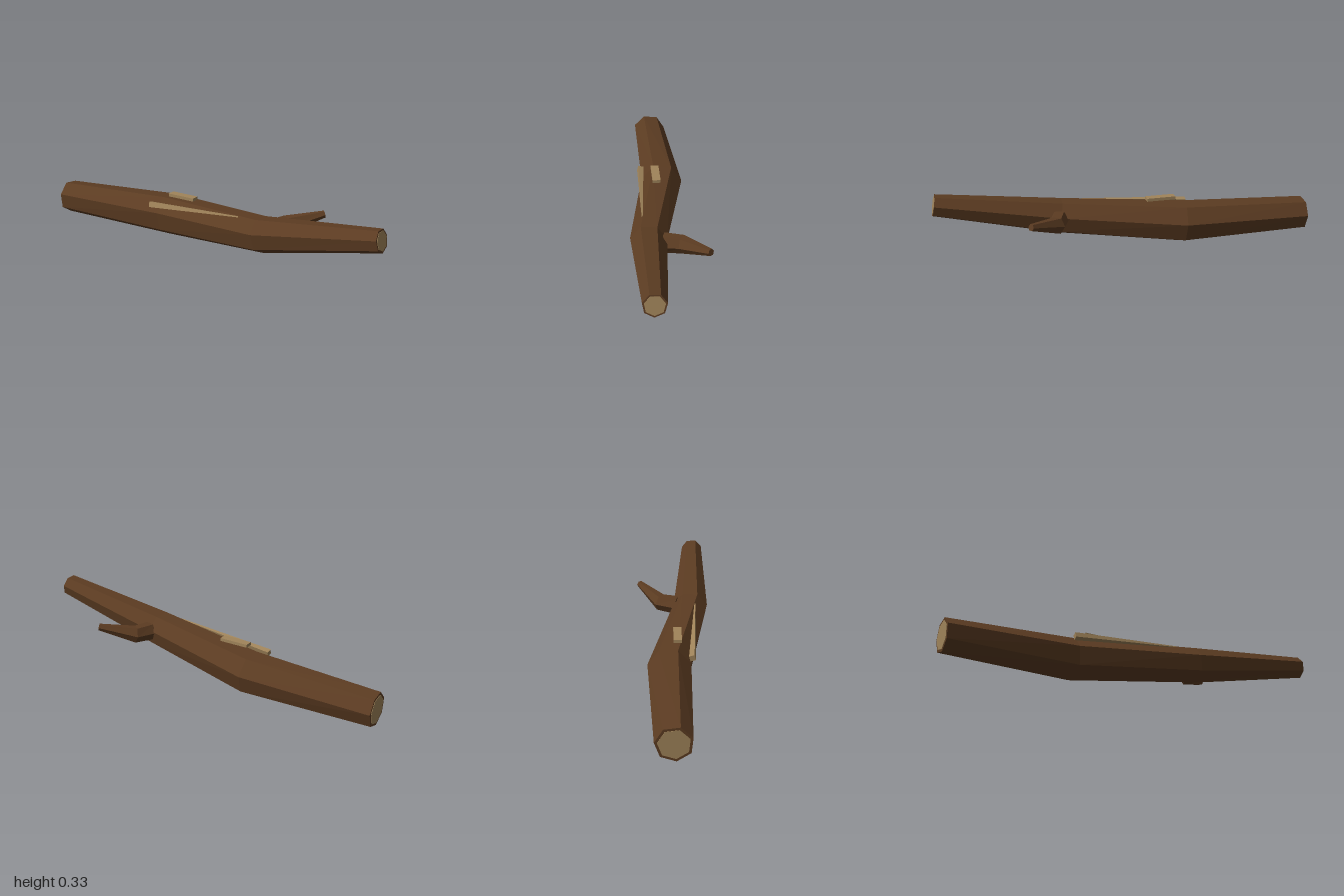
import * as THREE from 'three';

const BARK = 0x5c3c22, WOOD = 0xa0845a;
const V = (x, y, z) => new THREE.Vector3(x, y, z);

// Capped faceted limb lofted through stations { c: centre, r: radius, turn: degrees }
function limb(name, stations, sides, color) {
  const last = stations.length - 1;
  const rings = stations.map(({ c, r, turn = 0 }, i) => {
    const t = V(0, 0, 0);
    if (i > 0) t.add(c.clone().sub(stations[i - 1].c).normalize());
    if (i < last) t.add(stations[i + 1].c.clone().sub(c).normalize());
    t.normalize();
    const up = V(0, 1, 0).addScaledVector(t, -t.y).normalize();
    const side = t.clone().cross(up);
    return Array.from({ length: sides }, (_, k) => {
      const a = THREE.MathUtils.degToRad(turn) + (k / sides) * Math.PI * 2;
      return c.clone().addScaledVector(up, r * Math.cos(a)).addScaledVector(side, r * Math.sin(a));
    });
  });
  const points = [];
  for (let k = 0; k < sides; k++) {
    const n = (k + 1) % sides;
    for (let i = 0; i < last; i++) {
      const a = rings[i], b = rings[i + 1];
      points.push(a[k], a[n], b[k], a[n], b[n], b[k]);
    }
    points.push(stations[0].c, rings[0][n], rings[0][k]);
    points.push(stations[last].c, rings[last][k], rings[last][n]);
  }
  const geometry = new THREE.BufferGeometry().setFromPoints(points);
  geometry.computeVertexNormals();
  return part(name, geometry, color);
}

function part(name, geometry, color) {
  const mesh = new THREE.Mesh(geometry, new THREE.MeshStandardMaterial({ color, flatShading: true }));
  mesh.name = name;
  return mesh;
}

// Pale disc of exposed wood set on a cut end of the log
function cutFace(name, end, inner) {
  const out = end.c.clone().sub(inner.c).normalize();
  const stations = [-0.005, 0.002].map((d) => ({
    c: end.c.clone().addScaledVector(out, d),
    r: end.r * 0.85,
    turn: out.x > 0 ? end.turn : -end.turn,
  }));
  return limb(name, stations, 7, WOOD);
}

export function createModel() {
  const group = new THREE.Group();
  group.name = 'fallenBranch';

  // Crooked main log, tapering toward +x
  const log = [
    { c: V(-0.99, 0.094, 0.133), r: 0.089, turn: 18.5 },
    { c: V(-0.31, 0.115, 0.045), r: 0.112, turn: 22 },
    { c: V(0.34, 0.167, 0.094), r: 0.094, turn: 24 },
    { c: V(0.985, 0.279, 0.047), r: 0.058, turn: 23 },
  ];
  group.add(limb('log', log, 7, BARK));
  group.add(cutFace('thickCutFace', log[0], log[1]));
  group.add(cutFace('thinCutFace', log[3], log[2]));

  // Bent side twig at the back
  group.add(limb('twig', [
    { c: V(0.35, 0.175, 0.02), r: 0.05, turn: 30 },
    { c: V(0.372, 0.18, -0.076), r: 0.046, turn: 30 },
    { c: V(0.51, 0.229, -0.208), r: 0.018, turn: 30 },
  ], 6, BARK));

  // Long splinter lying along the front
  group.add(limb('splinter', [
    { c: V(-0.34, 0.192, 0.16), r: 0.02, turn: 30 },
    { c: V(0.22, 0.242, 0.128), r: 0.004, turn: 30 },
  ], 4, WOOD));

  // Bare wood chip on top
  const chip = part('woodChip', new THREE.BoxGeometry(0.155, 0.016, 0.042), WOOD);
  chip.position.set(-0.19, 0.245, 0.072);
  chip.rotation.y = 0.1;
  group.add(chip);

  return group;
}
